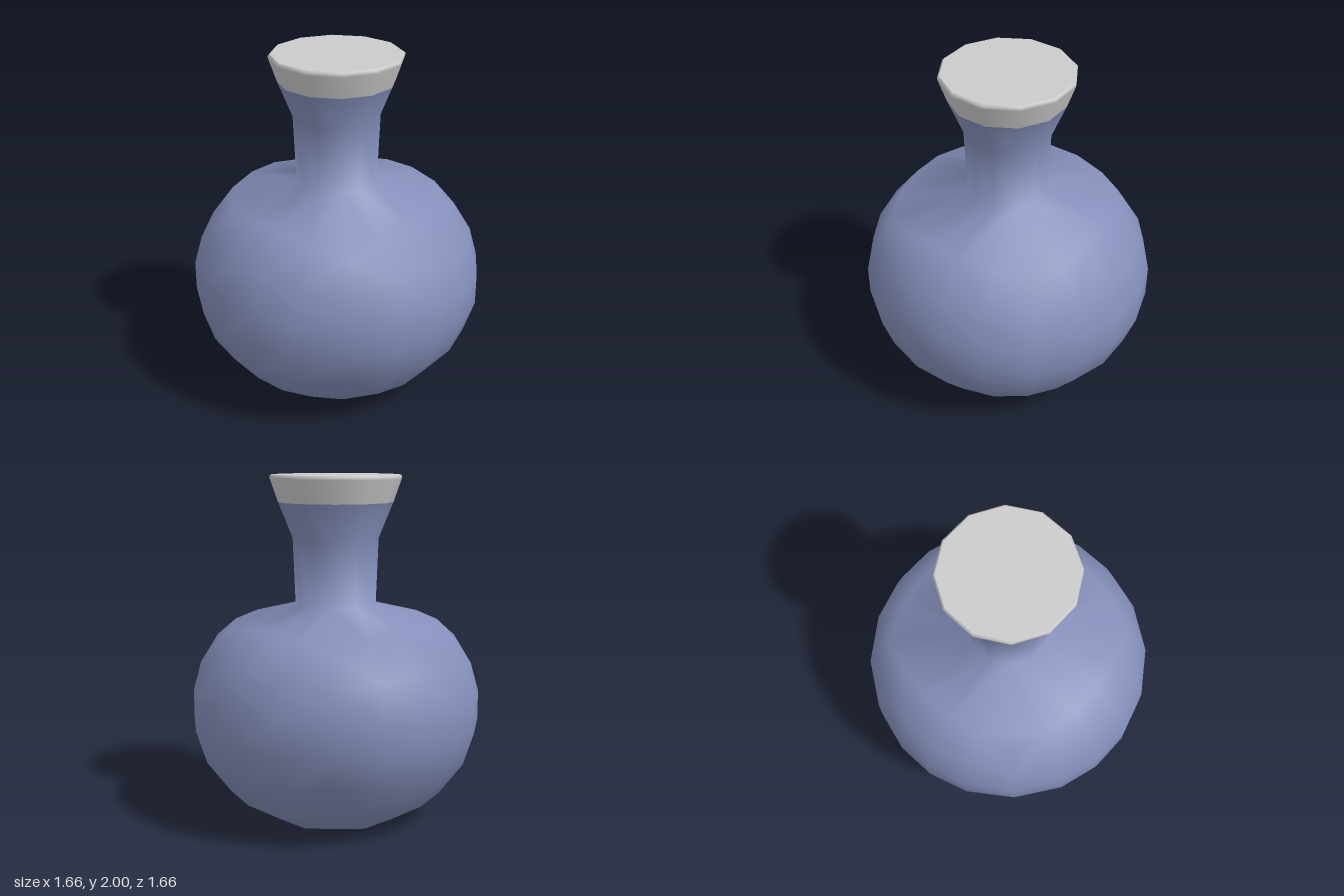
import * as THREE from 'three';
import { mergeVertices } from 'three/addons/utils/BufferGeometryUtils.js';

const R = 0.847, RY = 0.728, CENTRE_Y = 0.655, N = 5;
const STEP = Math.PI / 6, HALF = Math.PI / 12;
// Neck rings from shoulder to stopper: [radius, height]
const NECK = [[0.233, 1.26], [0.248, 1.64], [0.331, 1.845]];

const ringPoint = (i, [r, y]) => {
  const a = HALF + i * STEP;
  return [r * Math.cos(a), y, r * Math.sin(a)];
};

// Rounds a point of the cube into the squashed ball, with a flat foot and a shoulder that meets the neck
function bulge([x, y, z]) {
  if (y > 0.99 && Math.max(Math.abs(x), Math.abs(z)) < 0.7) {
    return ringPoint(Math.round((Math.atan2(z, x) - HALF) / STEP), NECK[0]);
  }
  const round = (a, b, c) => a * Math.sqrt(1 - b * b / 2 - c * c / 2 + b * b * c * c / 3);
  return [
    R * round(x, y, z),
    Math.max(0, CENTRE_Y + RY * round(y, z, x)),
    R * round(z, x, y),
  ];
}

function bottleGeometry() {
  const positions = [];
  const quad = (a, b, c, d) => positions.push(...a, ...b, ...c, ...a, ...c, ...d);

  // Six gridded cube faces; the middle of the top face is left open for the neck
  for (let axis = 0; axis < 3; axis++) {
    for (const sign of [1, -1]) {
      const at = (i, j) => {
        const p = [0, 0, 0];
        p[axis] = sign;
        p[(axis + 1) % 3] = (2 * i) / N - 1;
        p[(axis + 2) % 3] = (2 * j) / N - 1;
        return bulge(p);
      };
      for (let i = 0; i < N; i++) {
        for (let j = 0; j < N; j++) {
          const inner = i > 0 && i < N - 1 && j > 0 && j < N - 1;
          if (axis === 1 && sign === 1 && inner) continue;
          const c = [at(i, j), at(i + 1, j), at(i + 1, j + 1), at(i, j + 1)];
          if (sign < 0) c.reverse();
          quad(...c);
        }
      }
    }
  }

  // Twelve-sided flared neck
  for (let k = 0; k < NECK.length - 1; k++) {
    for (let i = 0; i < 12; i++) {
      quad(ringPoint(i, NECK[k]), ringPoint(i, NECK[k + 1]),
        ringPoint(i + 1, NECK[k + 1]), ringPoint(i + 1, NECK[k]));
    }
  }

  const geometry = new THREE.BufferGeometry();
  geometry.setAttribute('position', new THREE.Float32BufferAttribute(positions, 3));
  const merged = mergeVertices(geometry, 1e-4);
  merged.computeVertexNormals();
  return merged;
}

export function createModel() {
  const group = new THREE.Group();
  group.name = 'flask';

  const bottle = new THREE.Mesh(bottleGeometry(),
    new THREE.MeshStandardMaterial({ color: 0x858fba }));
  bottle.name = 'bottle';
  group.add(bottle);

  // Stopper with a narrow bevel around its flat top
  const grey = new THREE.MeshStandardMaterial({ color: 0xcccccc });
  const profile = [[0.331, 1.845], [0.376, 1.975], [0.378, 1.99], [0.368, 2]]
    .map(([r, y]) => new THREE.Vector2(r, y));
  const stopper = new THREE.Mesh(new THREE.LatheGeometry(profile, 12, HALF), grey);
  stopper.name = 'stopperSide';
  const lid = new THREE.Mesh(new THREE.CircleGeometry(0.368, 12, HALF), grey);
  lid.name = 'stopperTop';
  lid.rotation.x = -Math.PI / 2;
  lid.position.y = 2;
  group.add(stopper, lid);

  return group;
}
